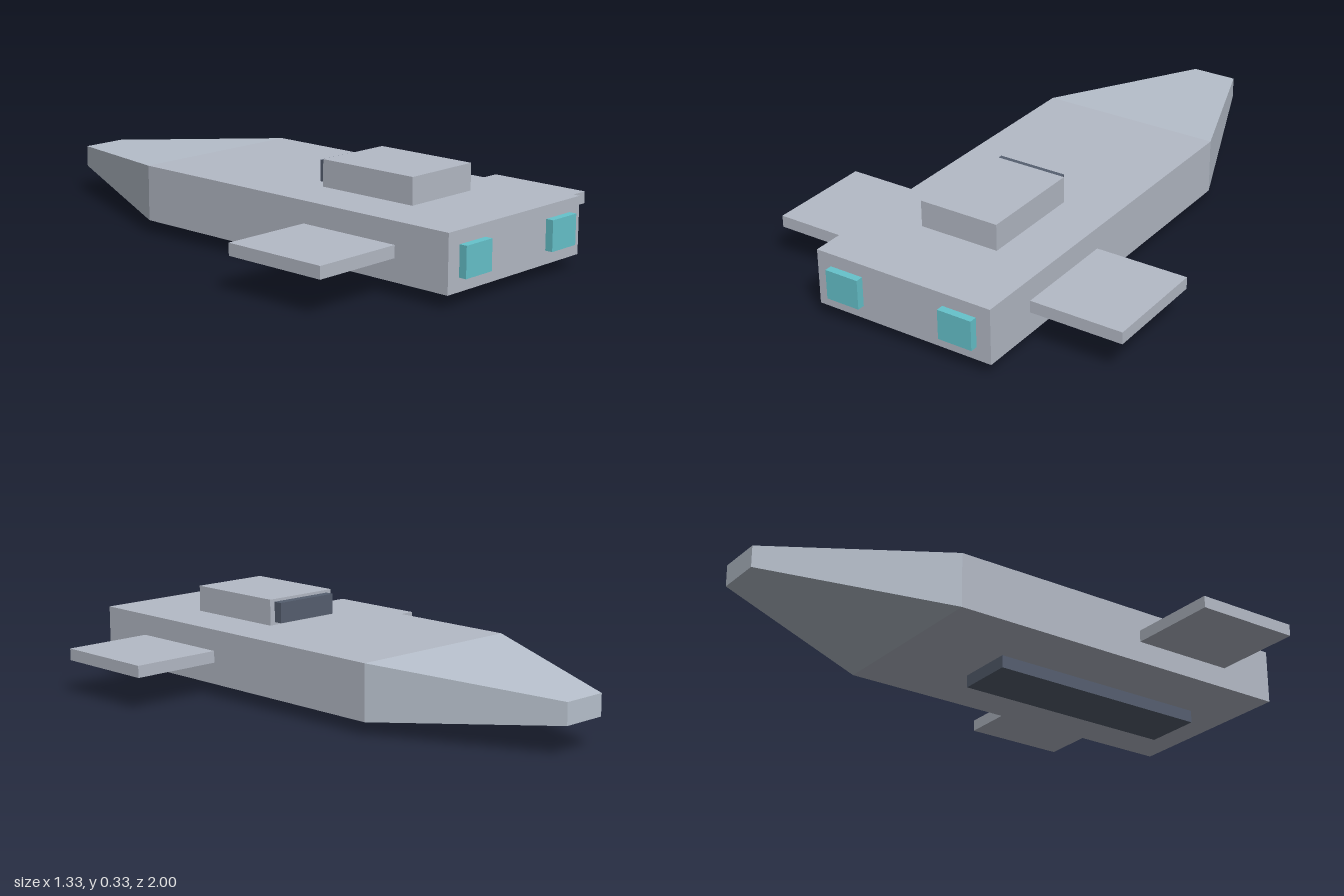
import * as THREE from 'three';

const paint = (color) => new THREE.MeshStandardMaterial({ color, flatShading: true });

export function createModel() {
  const model = new THREE.Group();
  const hullPaint = paint(0xb4bac6);
  const nosePaint = paint(0xb9c2ce);
  const darkPaint = paint(0x565f70);
  const glow = paint(0x66c3cc);

  // Box given by its extents along each axis
  const block = (name, material, [x0, x1], [y0, y1], [z0, z1]) => {
    const geometry = new THREE.BoxGeometry(x1 - x0, y1 - y0, z1 - z0);
    geometry.translate((x0 + x1) / 2, (y0 + y1) / 2, (z0 + z1) / 2);
    const mesh = new THREE.Mesh(geometry, material);
    mesh.name = name;
    model.add(mesh);
    return mesh;
  };

  block('hull', hullPaint, [-0.333, 0.333], [0.045, 0.24], [-0.368, 0.973]);

  // Nose: a box whose far end is narrowed and flattened
  const nose = block('nose', nosePaint, [-0.333, 0.333], [0.045, 0.24], [-1, -0.368]);
  const p = nose.geometry.attributes.position;
  const midY = 0.1425;
  for (let i = 0; i < p.count; i++) {
    if (p.getZ(i) < -0.9) {
      p.setX(i, Math.sign(p.getX(i)) * 0.084);
      p.setY(i, midY + Math.sign(p.getY(i) - midY) * 0.038);
    }
  }
  nose.geometry.computeVertexNormals();

  // Cabin with its window, and the keel below
  block('cabin', hullPaint, [-0.147, 0.147], [0.24, 0.333], [0.288, 0.673]);
  block('cabinWindow', darkPaint, [-0.126, 0.126], [0.25, 0.323], [0.256, 0.288]);
  block('keel', darkPaint, [-0.105, 0.105], [0, 0.045], [-0.044, 0.8]);

  // Wings and engine exhausts, mirrored
  for (const [side, s] of [['left', 1], ['right', -1]]) {
    const span = (a, b) => (s > 0 ? [a, b] : [-b, -a]);
    block(side + 'Wing', hullPaint, span(0.333, 0.667), [0.122, 0.164], [0.376, 0.762]);
    block(side + 'Engine', glow, span(0.155, 0.28), [0.091, 0.195], [0.973, 1]);
  }

  return model;
}
